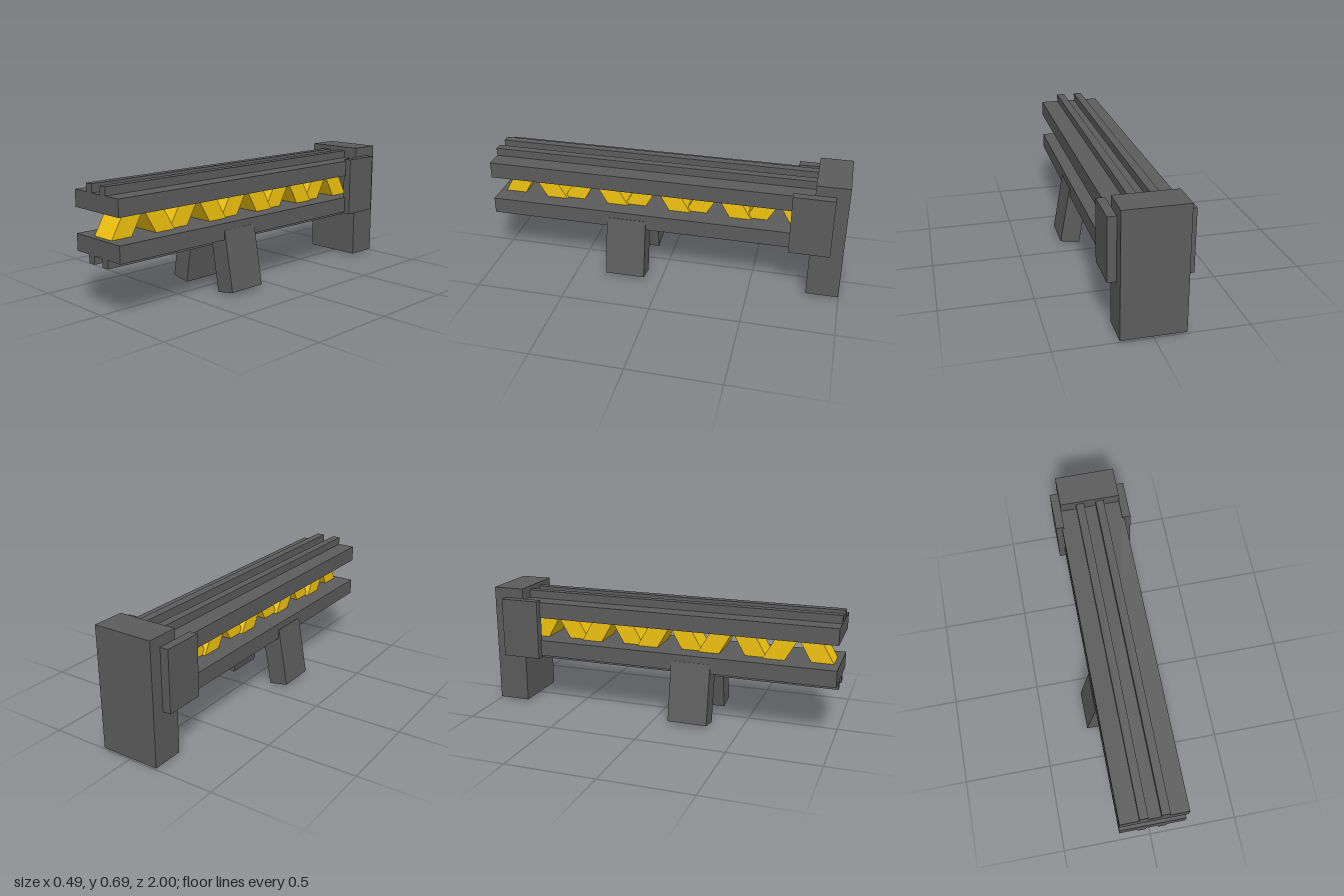
import * as THREE from 'three';

export function createModel() {
  const model = new THREE.Group();
  const dark = new THREE.MeshStandardMaterial({ color: 0x5c5c5c });
  const yellow = new THREE.MeshStandardMaterial({ color: 0xf1c40f });

  const box = (name, material, size, position) => {
    const mesh = new THREE.Mesh(new THREE.BoxGeometry(...size), material);
    mesh.name = name;
    mesh.position.set(...position);
    model.add(mesh);
    return mesh;
  };
  // Box given by its minimum and maximum corners
  const block = (name, [x0, y0, z0], [x1, y1, z1]) =>
    box(name, dark, [x1 - x0, y1 - y0, z1 - z0], [(x0 + x1) / 2, (y0 + y1) / 2, (z0 + z1) / 2]);

  // Long rails above and below the truss
  const back = -0.82;
  block('upperRail', [-0.182, 0.531, back], [0.182, 0.622, 1]);
  block('lowerRail', [-0.182, 0.304, back], [0.182, 0.395, 1]);

  // End block standing on the ground
  block('endBlock', [-0.17, 0.01, -1], [0.17, 0.69, back]);

  for (const side of [1, -1]) {
    const label = side > 0 ? 'left' : 'right';

    // Thin ribs along the outer face of each rail
    for (const [name, y] of [['UpperRib', 0.6445], ['LowerRib', 0.2815]]) {
      box(label + name, dark, [0.046, 0.045, 1 - back], [side * 0.057, y, (1 + back) / 2]);
    }

    // Side plate clamping the rails to the end block
    box(label + 'SidePlate', dark, [0.047, 0.34, 0.224], [side * 0.1935, 0.463, -0.819]);

    // Splayed leg
    const leg = box(label + 'Leg', dark, [0.113, 0.34, 0.224], [side * 0.1585, 0.1794, 0.208]);
    leg.rotation.z = side * THREE.MathUtils.degToRad(10);
  }

  // Zigzag truss: wide and narrow struts lean in turn
  const strutZ = [0.867, 0.687, 0.505, 0.323, 0.141, -0.038, -0.21, -0.382, -0.551, -0.72];
  strutZ.forEach((z, i) => {
    const even = i % 2 === 0;
    const strut = box(`strut${i + 1}`, yellow, [even ? 0.144 : 0.18, 0.24, 0.105], [0, 0.465, z]);
    strut.rotation.x = THREE.MathUtils.degToRad(even ? -30 : 30);
  });

  return model;
}
